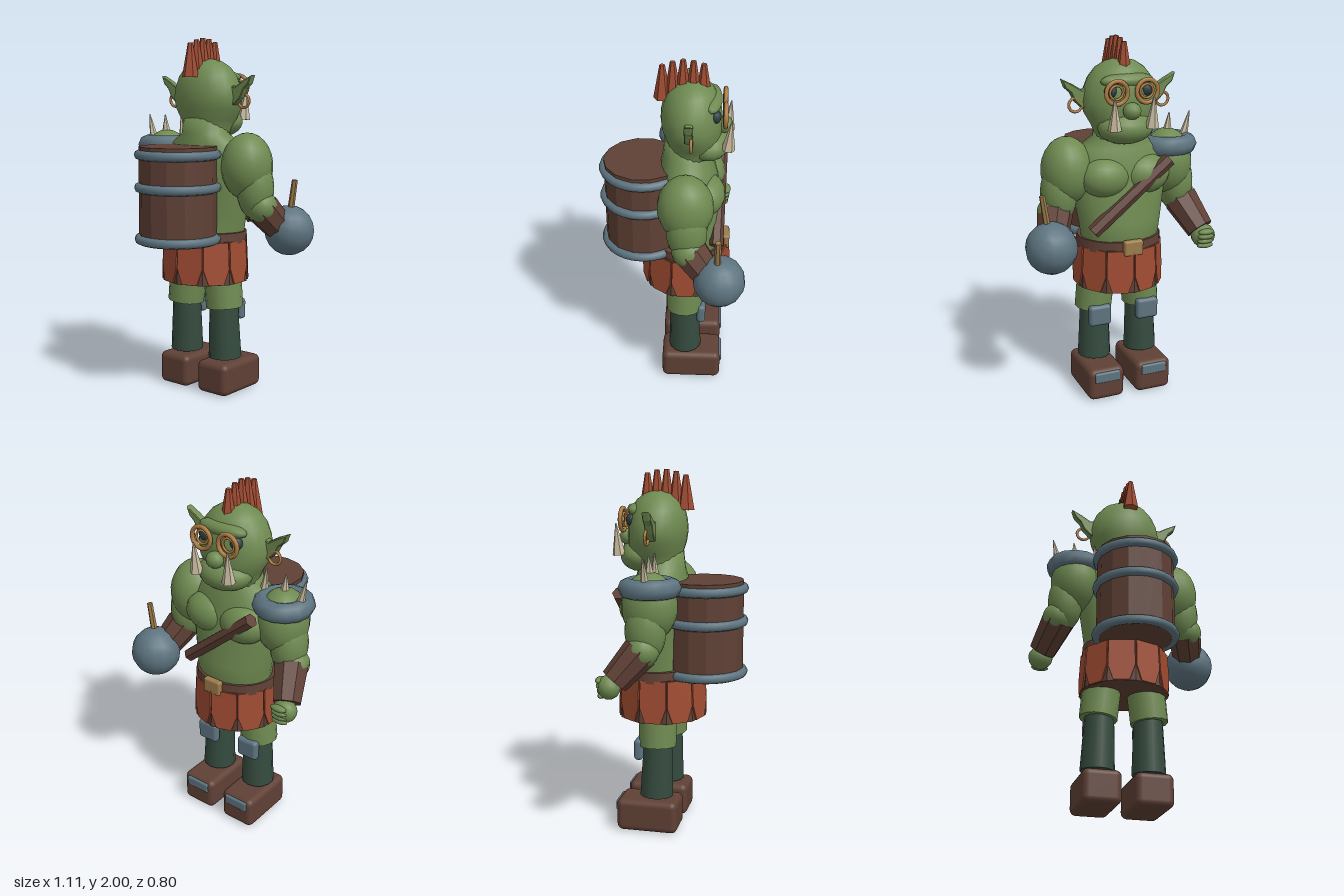
import * as THREE from 'three';
import { mergeVertices } from 'three/addons/utils/BufferGeometryUtils.js';
import { RoundedBoxGeometry } from 'three/addons/geometries/RoundedBoxGeometry.js';

const palette = {
  skin: 0x6f8a51, leather: 0x5f4035, cloth: 0xa04c32, steel: 0x5d7480, legging: 0x354b3e,
  bone: 0xc8bca0, brass: 0xad7c42, wood: 0x9c7b4a, eye: 0x2b3e42,
};

export function createModel() {
  const mats = {};
  for (const [name, color] of Object.entries(palette)) {
    mats[name] = new THREE.MeshStandardMaterial({ color });
    mats[name].name = name;
  }
  const flat = {};
  for (const name of ['leather', 'cloth', 'bone']) flat[name] = name;
  const root = new THREE.Group();
  root.name = 'ogre';
  const body = new THREE.Group();
  body.name = 'body';
  body.position.x = -0.04;
  root.add(body);

  const add = (name, geo, mat, x = 0, y = 0, z = 0) => {
    const m = new THREE.Mesh(geo, mats[mat]);
    m.name = name;
    m.position.set(x, y, z);
    body.add(m);
    return m;
  };
  // Faceted copy of a geometry
  const facet = (geo) => {
    const g = geo.toNonIndexed();
    g.computeVertexNormals();
    return g;
  };
  const blob = (name, mat, p, r, seg = 18) => {
    const m = add(name, new THREE.SphereGeometry(1, seg, Math.round(seg * 0.7)), mat, ...p);
    m.scale.set(...r);
    return m;
  };
  // Tapered cylinder running from point a to point b
  const limb = (name, mat, a, b, ra, rb, sides = 14, faceted = false) => {
    const A = new THREE.Vector3(...a), B = new THREE.Vector3(...b);
    let g = new THREE.CylinderGeometry(rb, ra, A.distanceTo(B), sides);
    if (faceted) g = facet(g);
    const m = add(name, g, mat);
    m.position.copy(A).lerp(B, 0.5);
    m.quaternion.setFromUnitVectors(new THREE.Vector3(0, 1, 0), B.sub(A).normalize());
    return m;
  };
  const ring = (name, mat, p, R, r, sides = 20) => add(name, new THREE.TorusGeometry(R, r, 8, sides), mat, ...p);
  const rbox = (name, mat, p, s, r) => add(name, new RoundedBoxGeometry(...s, 3, r), mat, ...p);
  // Smooth stack of elliptical sections [y, rx, rz, cz], top first
  const loft = (name, mat, rows) => {
    const n = rows.length - 1;
    let g = new THREE.CylinderGeometry(1, 1, 1, 22, n);
    const p = g.attributes.position;
    for (let i = 0; i < p.count; i++) {
      const [y, rx, rz, cz] = rows[Math.round((0.5 - p.getY(i)) * n)];
      p.setXYZ(i, p.getX(i) * rx, y, p.getZ(i) * rz + cz);
    }
    g.deleteAttribute('uv');
    g.deleteAttribute('normal');
    g = mergeVertices(g);
    g.computeVertexNormals();
    return add(name, g, mat);
  };

  // Torso, neck and head
  loft('torso', 'skin', [
    [1.56, 0.13, 0.12, -0.08], [1.47, 0.14, 0.13, -0.08], [1.42, 0.22, 0.14, -0.08], [1.32, 0.28, 0.16, -0.09],
    [1.15, 0.26, 0.16, -0.1], [1.02, 0.235, 0.175, -0.11], [0.92, 0.22, 0.175, -0.11], [0.82, 0.2, 0.17, -0.09]]);
  loft('head', 'skin', [
    [1.885, 0.03, 0.03, -0.1], [1.872, 0.085, 0.07, -0.1], [1.84, 0.135, 0.115, -0.1], [1.79, 0.175, 0.145, -0.1],
    [1.73, 0.2, 0.158, -0.1], [1.67, 0.212, 0.162, -0.1], [1.61, 0.2, 0.158, -0.105], [1.55, 0.165, 0.145, -0.11],
    [1.49, 0.135, 0.12, -0.1], [1.42, 0.13, 0.11, -0.08]]);
  blob('jaw', 'skin', [0, 1.535, -0.19], [0.155, 0.09, 0.12]);
  blob('nose', 'skin', [0, 1.635, -0.275], [0.05, 0.045, 0.045], 12);
  blob('brow', 'skin', [0, 1.785, -0.205], [0.15, 0.04, 0.055], 14);

  // Mohawk
  [1.97, 1.99, 2.0, 1.995, 1.98].forEach((top, i) => {
    const z = 0.052 - i * 0.053;
    limb('mohawkSpike', 'cloth', [0, 1.785, z], [0, top, z], 0.047, 0.014, 6, true);
  });

  for (const s of [-1, 1]) {
    // Face
    blob('eye', 'eye', [s * 0.1, 1.735, -0.225], [0.036, 0.036, 0.03], 12);
    ring('goggleRim', 'brass', [s * 0.085, 1.735, -0.277], 0.06, 0.012);
    ring('goggleInnerRim', 'brass', [s * 0.085, 1.735, -0.27], 0.036, 0.007);
    limb('tusk', 'bone', [s * 0.105, 1.545, -0.295], [s * 0.11, 1.715, -0.31], 0.037, 0.003, 6, true);
    const pts = [[0.16, 1.74], [0.215, 1.725], [0.265, 1.757], [0.318, 1.787], [0.303, 1.752],
      [0.272, 1.725], [0.25, 1.68], [0.215, 1.645], [0.16, 1.62]];
    const shape = new THREE.Shape(pts.map(([x, y]) => new THREE.Vector2(s * x, y)));
    add('ear', new THREE.ExtrudeGeometry(shape, {
      depth: 0.02, bevelEnabled: true, bevelSize: 0.007, bevelThickness: 0.012, bevelSegments: 2 }), 'skin', 0, 0, -0.1);
    ring('earring', 'brass', [s * 0.25, 1.655, -0.105], 0.037, 0.008);

    // Chest and arms
    blob('pectoral', 'skin', [s * 0.115, 1.27, -0.185], [0.14, 0.11, 0.105]);
    blob('shoulder', 'skin', [s * 0.295, 1.3, -0.08], [0.14, 0.185, 0.15]);
    blob('upperArm', 'skin', [s * 0.345, 1.18, -0.09], [0.1, 0.17, 0.11]);
    blob('elbow', 'skin', [s * 0.38, 1.08, -0.1], [0.09, 0.09, 0.09]);
    limb('bracer', 'leather', [s * 0.375, 1.075, -0.11], [s * 0.44, 0.925, -0.235], 0.098, 0.078, 8, true);
    blob('hand', 'skin', [s * 0.445, 0.895, -0.262], [0.07, 0.066, 0.062], 12);
    for (let i = 0; i < 4; i++)
      blob('finger', 'skin', [s * 0.44, 0.93 - i * 0.027, -0.312 + i * 0.004], [0.05, 0.017, 0.024], 10);

    // Legs and shoes
    limb('thigh', 'skin', [s * 0.145, 0.49, -0.075], [s * 0.115, 0.8, -0.08], 0.105, 0.11);
    limb('legging', 'legging', [s * 0.143, 0.2, -0.083], [s * 0.138, 0.53, -0.075], 0.094, 0.08);
    rbox('kneePad', 'steel', [s * 0.143, 0.47, -0.175], [0.13, 0.12, 0.05], 0.02);
    rbox('shoe', 'leather', [s * 0.142, 0.0925, -0.122], [0.212, 0.185, 0.344], 0.035);
    rbox('toePlate', 'steel', [s * 0.142, 0.14, -0.287], [0.15, 0.06, 0.03], 0.01);
  }

  // Skirt of ten cloth panels over a leather base
  add('skirtBase', facet(new THREE.CylinderGeometry(0.238, 0.25, 0.24, 10)), 'leather', 0, 0.76, -0.08);
  const panel = new THREE.Shape([[-0.071, 0.118], [-0.074, -0.03], [-0.044, -0.118], [0.044, -0.118],
    [0.074, -0.03], [0.071, 0.118]].map((p) => new THREE.Vector2(...p)));
  const panelGeo = new THREE.ExtrudeGeometry(panel, { depth: 0.008, bevelEnabled: false });
  panelGeo.rotateX(-0.048);
  panelGeo.translate(0, 0, 0.2325);
  for (let i = 0; i < 10; i++)
    add('skirtPanel', panelGeo, 'cloth', 0, 0.76, -0.08).rotation.y = (i + 0.5) * Math.PI / 5;
  add('belt', new THREE.CylinderGeometry(0.235, 0.24, 0.06, 20), 'leather', 0, 0.895, -0.095).scale.z = 0.88;
  rbox('buckle', 'wood', [0, 0.895, -0.305], [0.11, 0.085, 0.04], 0.012);
  limb('chestStrap', 'leather', [0.21, 0.99, -0.25], [-0.225, 1.355, -0.265], 0.038, 0.038, 6, true);

  // Barrel on the back
  add('barrel', facet(new THREE.CylinderGeometry(0.215, 0.215, 0.53, 14)), 'leather', 0, 1.145, 0.16);
  for (const y of [0.9, 1.185, 1.365])
    ring('barrelHoop', 'steel', [0, y, 0.16], 0.214, 0.026, 28).rotation.x = Math.PI / 2;

  // Spiked shoulder guard on the right shoulder
  const guard = ring('shoulderGuard', 'steel', [-0.295, 1.4, -0.078], 0.113, 0.055, 14);
  guard.rotation.x = Math.PI / 2;
  for (const [x, y, tip] of [[-0.395, 1.42, -0.432], [-0.298, 1.46, -0.308], [-0.165, 1.42, -0.185]])
    limb('guardSpike', 'bone', [x, y, -0.078], [tip, 1.57, -0.08], 0.027, 0.003, 6, true);

  // Bomb in the left hand
  blob('bomb', 'steel', [0.45, 0.94, -0.267], [0.14, 0.14, 0.14], 14);
  limb('bombFuse', 'wood', [0.465, 1.04, -0.255], [0.492, 1.225, -0.255], 0.019, 0.016, 6, true);

  return root;
}
